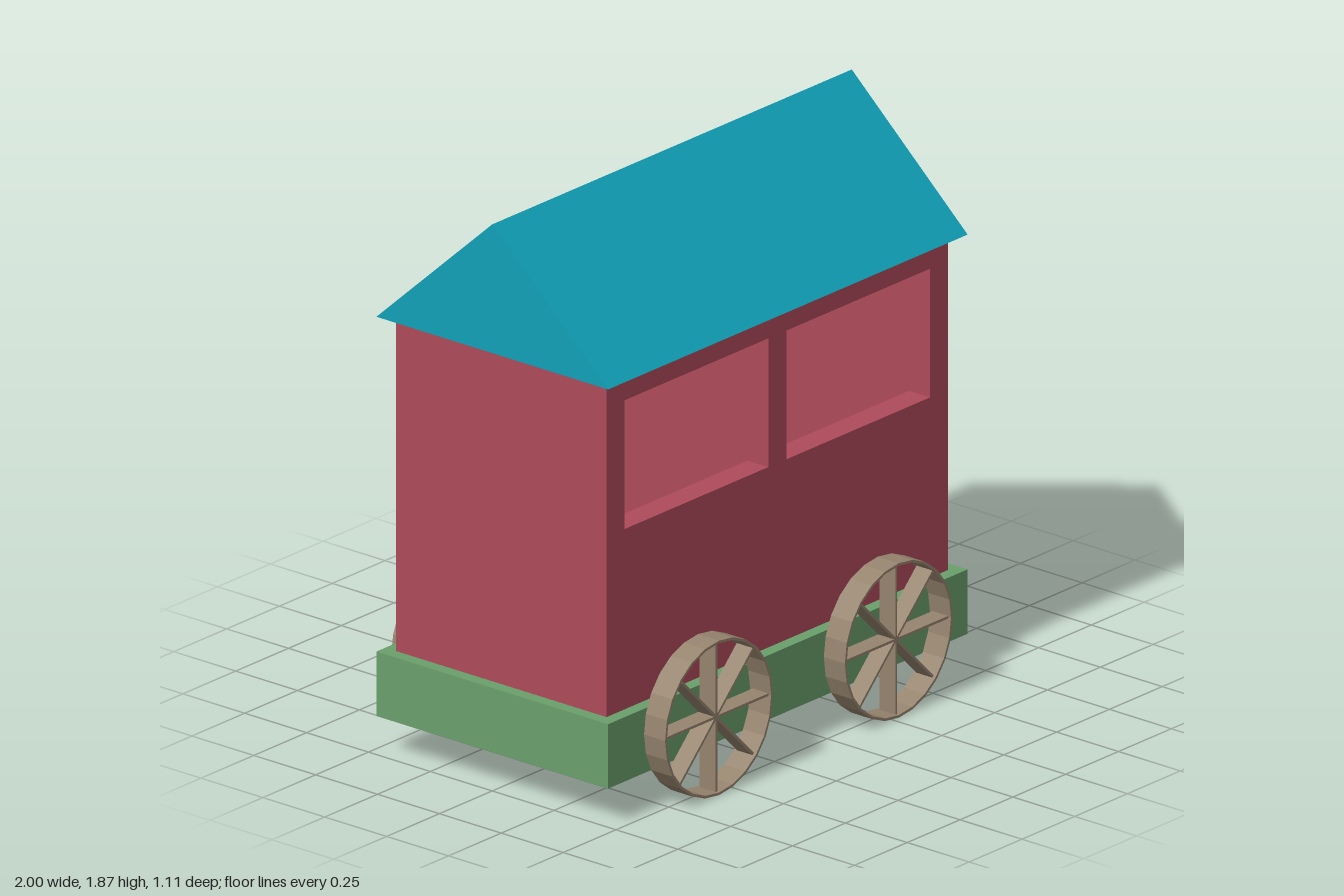
import * as THREE from 'three';

// Everything sits on a module of U; x is counted from the rear end.
const U = 2 / 23.5;
const X = (n) => -1 + n * U;

const paint = (color) => new THREE.MeshStandardMaterial({ color, flatShading: true });
const green = paint(0x6a9f6b);
const red = paint(0xae4a5a);
const blue = paint(0x10a0b6);
const brown = paint(0x96846e);
const grey = paint(0xcccccc);

function add(parent, name, geometry, material) {
  const mesh = new THREE.Mesh(geometry, material);
  mesh.name = name;
  parent.add(mesh);
  return mesh;
}

// Box given by its limits in modules
function block(parent, name, material, x0, x1, y0, y1, depth) {
  const mesh = add(parent, name, new THREE.BoxGeometry((x1 - x0) * U, (y1 - y0) * U, depth * U), material);
  mesh.position.set(X((x0 + x1) / 2), ((y0 + y1) / 2) * U, 0);
  return mesh;
}

function rectangle(PathType, x0, x1, y0, y1) {
  return new PathType([[x0, y0], [x1, y0], [x1, y1], [x0, y1]]
    .map(([x, y]) => new THREE.Vector2(X(x), y * U)));
}

// Hollow cabin with two rooms and open windows on both long sides
function createCabin() {
  const cabin = new THREE.Group();
  cabin.name = 'cabin';
  const outline = rectangle(THREE.Shape, 0.5, 19.5, 4, 17);
  for (const left of [1.5, 10.5]) outline.holes.push(rectangle(THREE.Path, left, left + 8, 11, 16));
  const wall = new THREE.ExtrudeGeometry(outline, { depth: U, bevelEnabled: false });
  add(cabin, 'frontWall', wall, red).position.z = 4 * U;
  add(cabin, 'backWall', wall, red).position.z = -5 * U;
  block(cabin, 'rearEndWall', red, 0.5, 1.5, 4, 17, 8);
  block(cabin, 'partition', red, 9.5, 10.5, 5, 16, 8);
  block(cabin, 'hitchEndWall', red, 18.5, 19.5, 4, 17, 8);
  block(cabin, 'floor', red, 1.5, 18.5, 4, 5, 8);
  block(cabin, 'ceiling', red, 1.5, 18.5, 16, 17, 8);
  return cabin;
}

// Thin rim with four blades crossing the hub to make eight spokes
function createWheel() {
  const wheel = new THREE.Group();
  wheel.name = 'wheel';
  const outer = 3 * U, inner = 2.9 * U, h = U / 2;
  const profile = [[inner, -h], [outer, -h], [outer, h], [inner, h], [inner, -h]]
    .map(([x, y]) => new THREE.Vector2(x, y));
  add(wheel, 'rim', new THREE.LatheGeometry(profile, 24).rotateX(Math.PI / 2), brown);
  for (let i = 0; i < 4; i++) {
    const spoke = add(wheel, 'spoke', new THREE.BoxGeometry(2 * inner, 0.1 * U, 0.75 * U), brown);
    spoke.rotation.z = (i * Math.PI) / 4;
  }
  return wheel;
}

export function createModel() {
  const wagon = new THREE.Group();
  wagon.name = 'wagon';

  block(wagon, 'chassis', green, 0, 20, 1.5, 4, 11);
  wagon.add(createCabin());

  // Gabled roof
  const gable = new THREE.Shape([[-5.5, 17], [5.5, 17], [0, 22]]
    .map(([z, y]) => new THREE.Vector2(z * U, y * U)));
  const roof = add(wagon, 'roof', new THREE.ExtrudeGeometry(gable, { depth: 20 * U, bevelEnabled: false }), blue);
  roof.rotation.y = Math.PI / 2;
  roof.position.x = X(0);

  // Wheels on both sides
  for (const x of [5, 15]) {
    for (const side of [-1, 1]) {
      const wheel = createWheel();
      wheel.position.set(X(x), 3 * U, side * 6 * U);
      wagon.add(wheel);
    }
  }

  // Coupling rod
  const bar = new THREE.CylinderGeometry(U / 2, U / 2, 3.5 * U, 24).rotateZ(Math.PI / 2);
  add(wagon, 'towBar', bar, grey).position.set(X(21.75), 3 * U, 0);

  return wagon;
}
